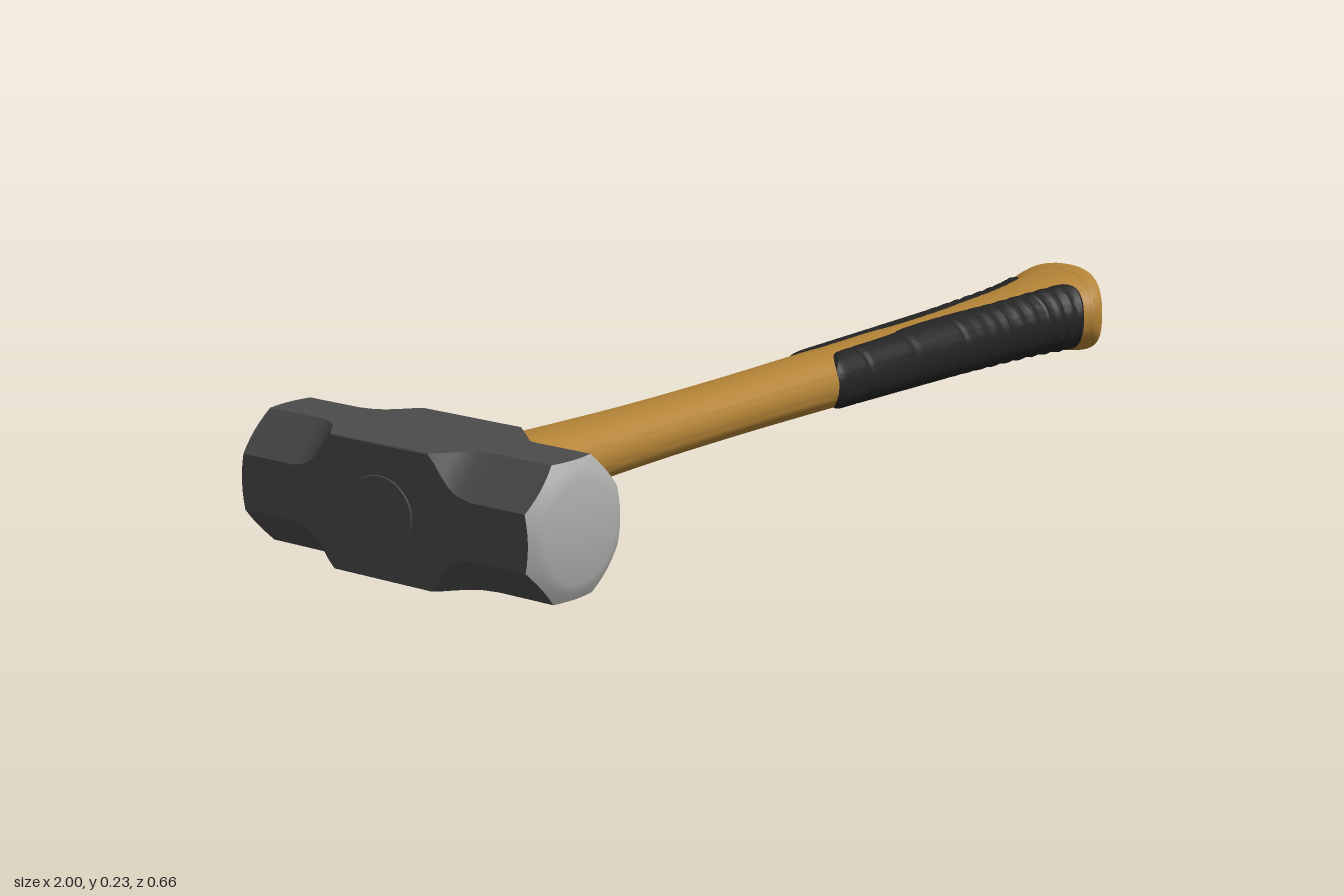
import * as THREE from 'three';
import { toCreasedNormals } from 'three/addons/utils/BufferGeometryUtils.js';

const mat = (name, color, side = THREE.FrontSide) => {
  const m = new THREE.MeshStandardMaterial({ color, side });
  m.name = name;
  return m;
};

// Skin a list of rows of [x, y, z] points
function skin(rows, closed, crease) {
  const n = rows[0].length, index = [];
  for (let i = 0; i < rows.length - 1; i++) {
    for (let j = 0; j < (closed ? n : n - 1); j++) {
      const k = (j + 1) % n;
      const a = i * n + j, b = i * n + k, c = a + n, d = b + n;
      index.push(a, b, d, a, d, c);
    }
  }
  const g = new THREE.BufferGeometry();
  g.setAttribute('position', new THREE.Float32BufferAttribute(rows.flat(2), 3));
  g.setIndex(index);
  return toCreasedNormals(g, crease);
}

// Piecewise smooth lookup in a table of [x, value, value...]
function lookup(table, x, col) {
  let i = 0;
  while (i < table.length - 2 && x > table[i + 1][0]) i++;
  const [p, q] = [table[i], table[i + 1]];
  const t = THREE.MathUtils.clamp((x - p[0]) / (q[0] - p[0]), 0, 1);
  const slope = (k) => {
    const a = table[Math.max(k - 1, 0)], b = table[Math.min(k + 1, table.length - 1)];
    return (b[col] - a[col]) / (b[0] - a[0]);
  };
  const w = q[0] - p[0], t2 = t * t, t3 = t2 * t;
  return p[col] * (2 * t3 - 3 * t2 + 1) + q[col] * (3 * t2 - 2 * t3)
    + slope(i) * w * (t3 - 2 * t2 + t) + slope(i + 1) * w * (t3 - t2);
}

// ---- head: square block whose corners are cut back to an octagon at both ends
const H = 0.114;
function octagon(cut, z) {
  const f = H - cut, pts = [];
  const corners = [[H, -f], [H, f], [f, H], [-f, H], [-H, f], [-H, -f], [-f, -H], [f, -H]];
  corners.forEach((p, i) => {
    const q = corners[(i + 1) % 8];
    for (let s = 0; s < 6; s++) {
      const t = s / 6;
      pts.push([p[0] + (q[0] - p[0]) * t, p[1] + (q[1] - p[1]) * t, z]);
    }
  });
  return pts;
}
const CUT = 0.066;
const rim = (sign) => octagon(CUT, 0).map(([x, y]) =>
  [x, y, sign * (0.325 - (Math.hypot(x, y) - 0.1) * 0.6)]);
const disc = (r, z) => octagon(CUT, 0).map(([x, y]) => {
  const l = Math.hypot(x, y);
  return [x / l * r, y / l * r, z];
});

function buildHead(steel, polished) {
  const head = new THREE.Group();
  head.name = 'head';
  const steps = [[0.108, 0.002], [0.12, 0.014], [0.135, 0.033], [0.15, 0.049], [0.168, 0.06], [0.195, CUT]];
  const rows = [
    rim(-1),
    ...steps.slice().reverse().map(([z, c]) => octagon(c, -z)),
    ...steps.map(([z, c]) => octagon(c, z)),
    rim(1),
  ];
  const block = new THREE.Mesh(skin(rows, true, 0.45), steel);
  block.name = 'headBlock';
  head.add(block);

  // striking faces
  const face = skin([rim(1), disc(0.1, 0.325), disc(0.086, 0.33), disc(0, 0.33)], true, 0.4);
  for (const turn of [0, Math.PI]) {
    const m = new THREE.Mesh(face, polished);
    m.name = 'strikingFace';
    m.rotation.y = turn;
    head.add(m);
  }

  // plug closing the eye on the far side
  const plug = new THREE.Mesh(new THREE.CylinderGeometry(0.06, 0.063, 0.004, 40), steel);
  plug.name = 'eyePlug';
  plug.rotation.z = Math.PI / 2;
  plug.scale.z = 1.15;
  plug.position.x = -H;
  head.add(plug);

  head.scale.x = 0.1115 / H;
  head.position.set(-0.8865, H, 0);
  return head;
}

// ---- handle: x, half height, half width
const HANDLE = [
  [-0.79, 0.062, 0.092], [-0.6, 0.055, 0.08], [-0.35, 0.05, 0.07], [-0.1, 0.05, 0.067],
  [0.15, 0.053, 0.068], [0.4, 0.057, 0.072], [0.65, 0.061, 0.08], [0.82, 0.067, 0.089],
  [0.92, 0.075, 0.102], [0.97, 0.084, 0.114], [1, 0.089, 0.117],
];
const CY = 0.116;
function handlePoint(x, a, grow = 0, shrink = 1) {
  const pw = (v) => Math.sign(v) * Math.abs(v) ** 0.88;
  const c = pw(Math.cos(a)), s = pw(Math.sin(a));
  const bow = 0.04 * THREE.MathUtils.smoothstep(x, 0.8, 1) * Math.abs(s * shrink) ** 3;
  return [x - bow,
    CY + c * (lookup(HANDLE, x, 1) + grow) * shrink,
    s * (lookup(HANDLE, x, 2) + grow) * shrink];
}

function buildHandle(wood) {
  const ring = (x, grow, shrink) => Array.from({ length: 48 }, (_, j) =>
    handlePoint(x, j / 48 * Math.PI * 2, grow, shrink));
  const rows = [];
  for (let i = 0; i <= 56; i++) rows.push(ring(-0.79 + 1.73 * i / 56, 0));
  // fine groove around the flared butt, then the bowed end
  rows.push(ring(0.962, 0), ring(0.966, -0.002), ring(0.97, 0), ring(0.985, 0), ring(0.997, 0));
  for (const s of [0.99, 0.85, 0.7, 0.5, 0.25, 0]) rows.push(ring(1, 0, s));
  const m = new THREE.Mesh(skin(rows, true, 0.6), wood);
  m.name = 'handle';
  return m;
}

// ---- grips: ribbed pads; x and half angle wrapped round the side
const WRAP = [[0.14, 1.2], [0.2, 1.33], [0.36, 1.36], [0.42, 1.47], [0.55, 1.47],
  [0.7, 1.34], [0.82, 1.26], [0.95, 1.1]];
function buildGrip(rubber, side) {
  const X0 = 0.14, X1 = 0.945, N = 140, M = 24, rows = [];
  for (let i = 0; i <= N; i++) {
    const x = X0 + (X1 - X0) * i / N;
    const round = (d, r) => Math.sqrt(1 - (1 - Math.min(d / r, 1)) ** 2);
    const span = lookup(WRAP, x, 1) * round(x - X0, 0.06) * round(X1 - x, 0.035);
    const endFade = Math.min(1, (x - X0) / 0.02, (X1 - x) / 0.015);
    const ribs = 0.0018 * Math.sin(x * 150) * THREE.MathUtils.smoothstep(x, 0.5, 0.75);
    const seam = [0.24, 0.385, 0.54, 0.69, 0.8].some((s) => Math.abs(x - s) < 0.004) ? -0.002 : 0;
    const row = [];
    for (let j = 0; j <= M; j++) {
      const t = j / M * 2 - 1;
      const edgeFade = Math.min(1, (1 - Math.abs(t)) * 8);
      const grow = -0.002 + (0.007 + ribs + seam) * endFade * edgeFade;
      row.push(handlePoint(x, side * Math.PI / 2 + t * span, grow));
    }
    rows.push(row);
  }
  const m = new THREE.Mesh(skin(rows, false, 0.5), rubber);
  m.name = side > 0 ? 'gripFront' : 'gripBack';
  return m;
}

export function createModel() {
  const model = new THREE.Group();
  model.name = 'sledgehammer';
  const steel = mat('darkSteel', 0x4b4b4b);
  const polished = mat('polishedSteel', 0xaaaaa8);
  const wood = mat('ochreHandle', 0xb38336);
  const rubber = mat('blackRubber', 0x232323, THREE.DoubleSide);
  model.add(buildHead(steel, polished), buildHandle(wood), buildGrip(rubber, 1), buildGrip(rubber, -1));
  return model;
}
